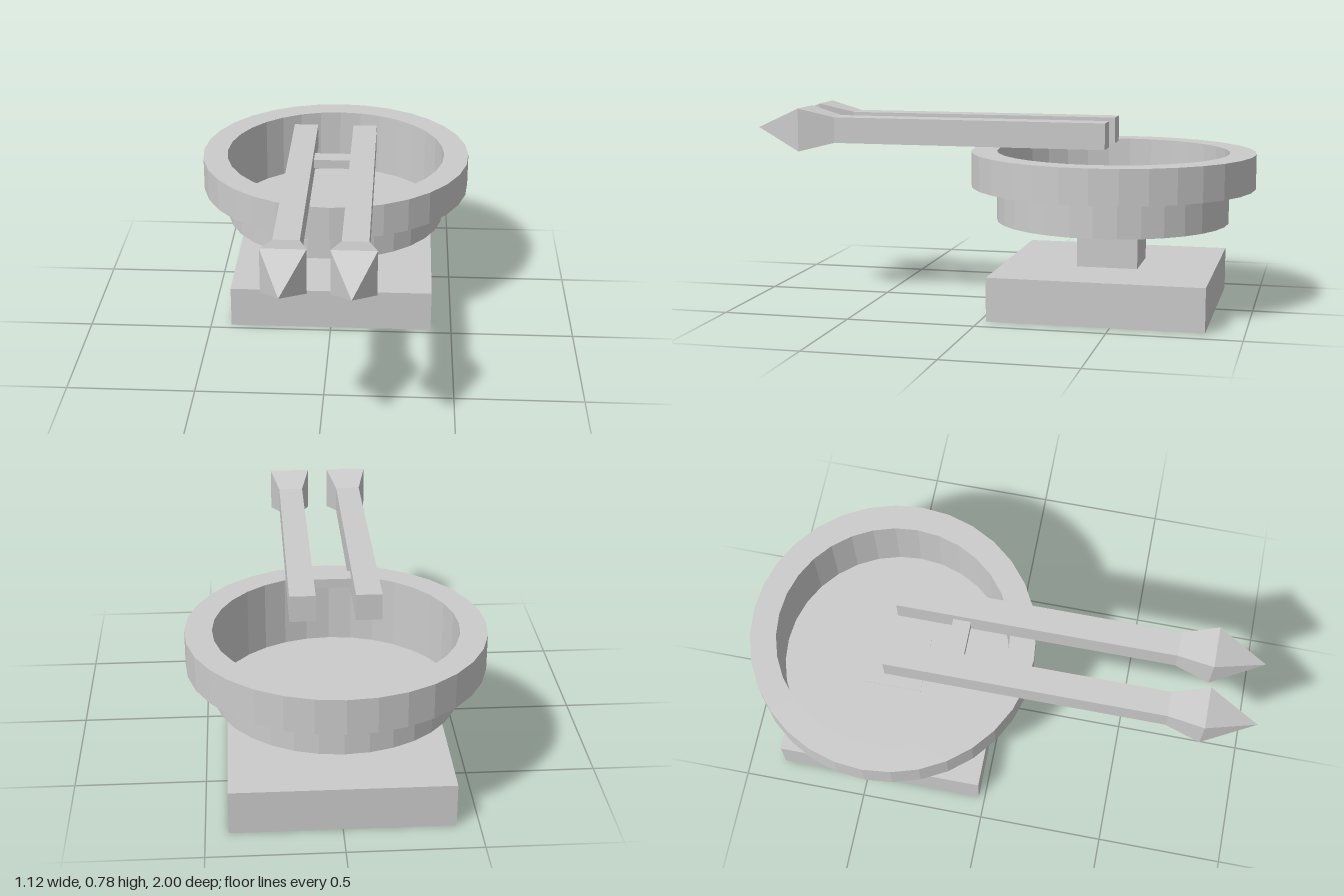
import * as THREE from 'three';

const CENTER_Z = -0.44;

export function createModel() {
  const group = new THREE.Group();
  const material = new THREE.MeshStandardMaterial({ color: 0xcccccc, flatShading: true });
  const shell = new THREE.MeshStandardMaterial({ color: 0xcccccc, flatShading: true, side: THREE.DoubleSide });

  const add = (name, geometry, x, y, z, mat = material) => {
    const mesh = new THREE.Mesh(geometry, mat);
    mesh.name = name;
    mesh.position.set(x, y, z);
    group.add(mesh);
  };
  const lathe = (points, segments) =>
    new THREE.LatheGeometry(points.map(([r, y]) => new THREE.Vector2(r, y)), segments);

  // Square foot and stem
  add('base', new THREE.BoxGeometry(0.83, 0.17, 0.83), 0, 0.085, CENTER_Z);
  add('stem', new THREE.BoxGeometry(0.238, 0.175, 0.238), 0, 0.2575, CENTER_Z);

  // Open stepped tub: thin lower wall with a floor, thick upper rim
  const tub = lathe([
    [0, 0.343], [0.458, 0.343], [0.458, 0.481], [0.56, 0.481],
    [0.56, 0.617], [0.458, 0.617], [0.458, 0.481],
  ], 32);
  add('tub', tub, 0, 0, CENTER_Z, shell);

  // Twin square barrels with flared, pointed heads
  const corner = Math.SQRT2;
  const barrel = lathe([
    [0, -0.435], [0.049 * corner, -0.435], [0.049 * corner, 0.66],
    [0.082 * corner, 0.8], [0, 1],
  ], 4);
  barrel.rotateY(Math.PI / 4);
  barrel.rotateX(Math.PI / 2);
  barrel.scale(1, 1.05, 1);
  for (const side of [-1, 1]) {
    add(side > 0 ? 'leftBarrel' : 'rightBarrel', barrel, side * 0.123, 0.69, 0);
  }

  // Short bar joining the barrels
  add('crossbar', new THREE.BoxGeometry(0.17, 0.036, 0.07), 0, 0.688, -0.177);

  return group;
}
